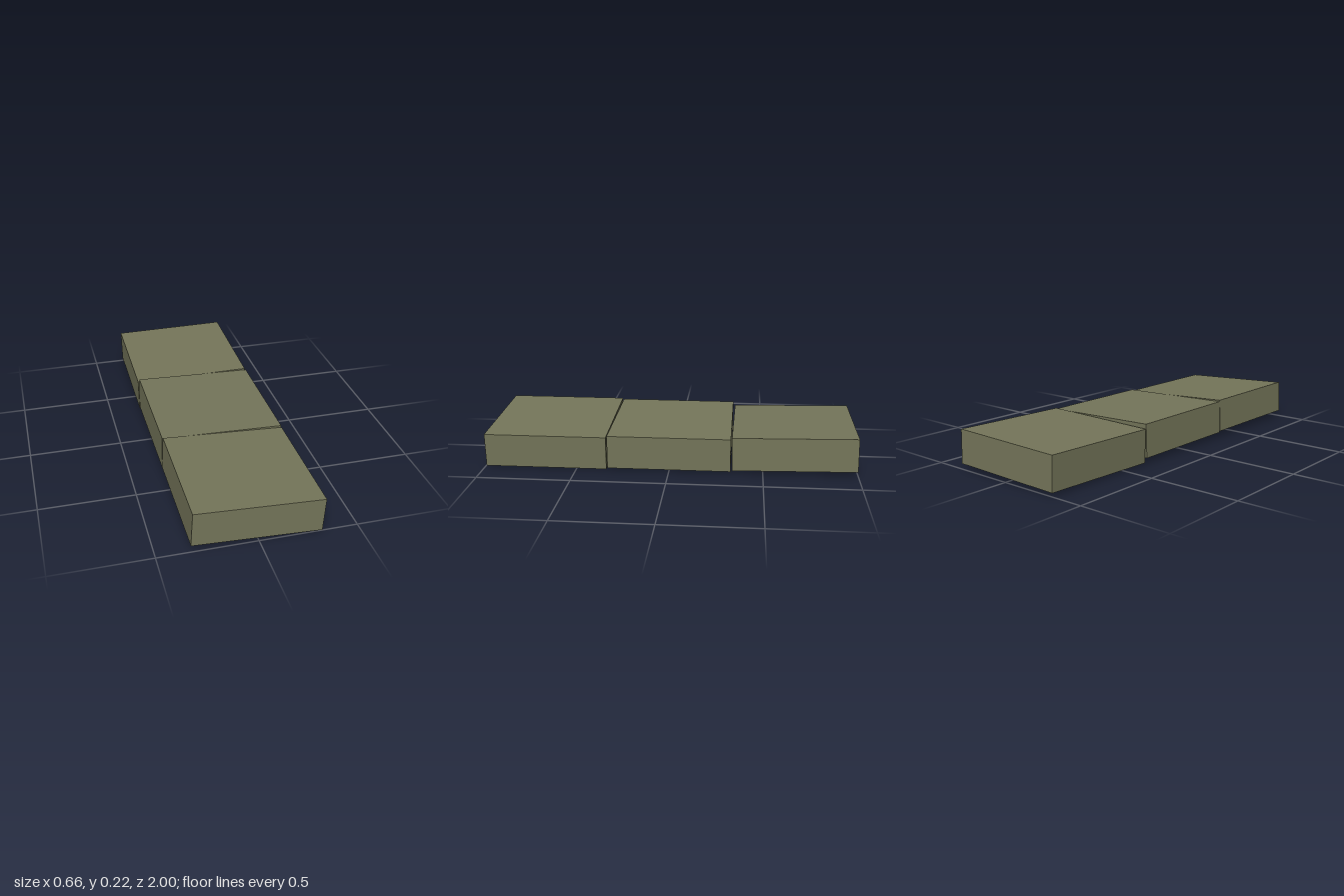
import * as THREE from 'three';

// Three loose slabs laid end to end, each settled at a slightly different tilt
const SLABS = [
  { name: 'frontSlab', position: [-0.001, 0.1095, 0.668], rotation: [0, 0, -0.053] },
  { name: 'middleSlab', position: [-0.001, 0.11, 0.002], rotation: [0, 0, -0.031] },
  { name: 'backSlab', position: [-0.001, 0.109, -0.668], rotation: [0.021, -0.007, 0.014] },
];

export function createModel() {
  const model = new THREE.Group();
  model.name = 'slabPath';
  const material = new THREE.MeshStandardMaterial({ color: 0x75765a });
  const geometry = new THREE.BoxGeometry(0.652, 0.181, 0.66);

  for (const { name, position, rotation } of SLABS) {
    const slab = new THREE.Mesh(geometry, material);
    slab.name = name;
    slab.position.set(...position);
    slab.rotation.set(...rotation);
    model.add(slab);
  }
  return model;
}
